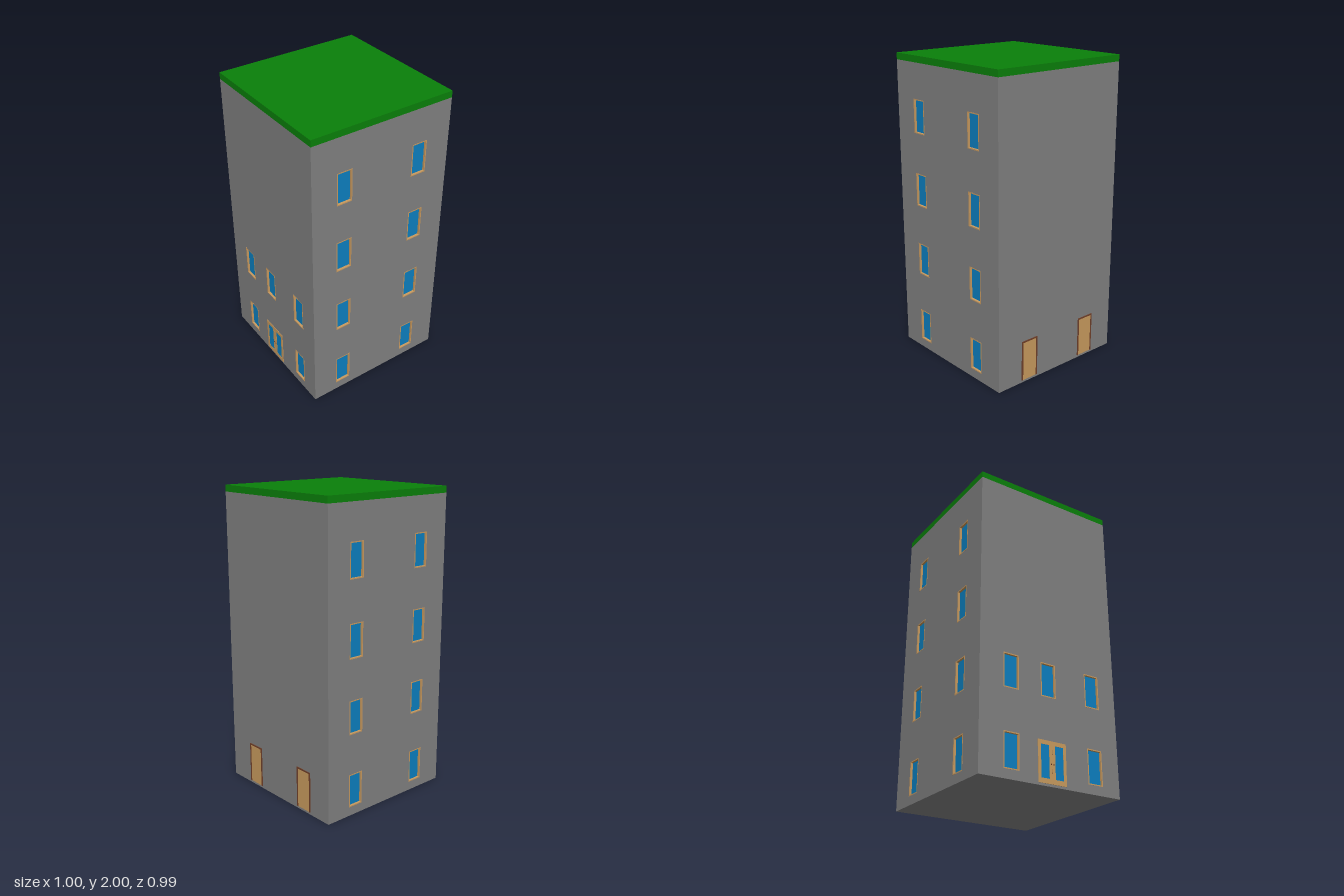
import * as THREE from 'three';

const HALF = 0.495;        // half width of the tower
const WALL_TOP = 1.957;
const THICK = 0.02;        // wall thickness
const WIN_W = 0.108, WIN_H = 0.22;
const ROWS = [0.168, 0.653, 1.135, 1.619]; // window centre heights

const mat = (color) => new THREE.MeshStandardMaterial({ color });
const wallMat = mat(0x808080), roofMat = mat(0x0a800a), glassMat = mat(0x0c7fc0);
const trimMat = mat(0xc89a60), doorMat = mat(0xc89a5e), darkMat = mat(0x70402a);

function add(parent, name, geometry, material, x = 0, y = 0, z = 0) {
  const mesh = new THREE.Mesh(geometry, material);
  mesh.name = name;
  mesh.position.set(x, y, z);
  parent.add(mesh);
  return mesh;
}

// Rectangle centred on (x, y), as a shape or a hole
function rect(Type, x, y, w, h) {
  const p = new Type();
  p.moveTo(x - w / 2, y - h / 2);
  p.lineTo(x + w / 2, y - h / 2);
  p.lineTo(x + w / 2, y + h / 2);
  p.lineTo(x - w / 2, y + h / 2);
  p.closePath();
  return p;
}

// Extruded rectangle with rectangular holes, each hole [x, y, w, h]
function panel(x, y, w, h, holes, depth) {
  const shape = rect(THREE.Shape, x, y, w, h);
  for (const hole of holes) shape.holes.push(rect(THREE.Path, ...hole));
  return new THREE.ExtrudeGeometry(shape, { depth, bevelEnabled: false });
}

// Wall with window openings; its outer face is local z = 0, facing +z
function makeWall(name, width, windows) {
  const wall = new THREE.Group();
  wall.name = name;
  const holes = windows.map(([x, y]) => [x, y, WIN_W, WIN_H]);
  add(wall, 'wallPanel', panel(0, WALL_TOP / 2, width, WALL_TOP, holes, THICK), wallMat, 0, 0, -THICK);
  for (const [x, y] of windows) {
    const win = new THREE.Group();
    win.name = 'window';
    win.position.set(x, y, 0);
    const inner = [[0, 0, WIN_W - 0.014, WIN_H - 0.014]];
    add(win, 'windowFrame', panel(0, 0, WIN_W, WIN_H, inner, THICK), trimMat, 0, 0, -THICK + 0.0005);
    add(win, 'windowGlass', new THREE.BoxGeometry(WIN_W - 0.014, WIN_H - 0.014, 0.004), glassMat, 0, 0, -0.016);
    wall.add(win);
  }
  return wall;
}

// Plain door with a dark surround on the sides and top
function makeSideDoor(x) {
  const door = new THREE.Group();
  door.name = 'sideDoor';
  door.position.set(x, 0.015, 0);
  add(door, 'doorLeaf', new THREE.BoxGeometry(0.11, 0.262, 0.004), doorMat, 0, 0.131, 0);
  for (const s of [-1, 1]) {
    add(door, 'doorJamb', new THREE.BoxGeometry(0.01, 0.262, 0.008), darkMat, s * 0.06, 0.131, 0);
  }
  add(door, 'doorLintel', new THREE.BoxGeometry(0.13, 0.01, 0.008), darkMat, 0, 0.267, 0);
  return door;
}

// Glazed double entrance door
function makeEntrance() {
  const door = new THREE.Group();
  door.name = 'entranceDoor';
  for (const s of [-1, 1]) {
    const glass = [[s * 0.05, 0.145, 0.058, 0.2]];
    add(door, 'entranceLeaf', panel(s * 0.05, 0.143, 0.099, 0.256, glass, 0.005), doorMat, 0, 0, -0.002);
    add(door, 'entranceGlass', new THREE.BoxGeometry(0.058, 0.2, 0.002), glassMat, s * 0.05, 0.145, 0.0004);
    add(door, 'doorKnob', new THREE.SphereGeometry(0.004, 12, 8), darkMat, s * 0.009, 0.132, 0.004);
  }
  add(door, 'meetingLine', new THREE.BoxGeometry(0.002, 0.256, 0.004), darkMat, 0, 0.143, 0);
  return door;
}

export function createModel() {
  const tower = new THREE.Group();
  tower.name = 'tower';

  // Front and back: two columns of four windows
  const columns = ROWS.flatMap((y) => [[-0.271, y], [0.271, y]]);
  const front = makeWall('frontWall', HALF * 2, columns);
  front.position.z = HALF;
  const back = makeWall('backWall', HALF * 2, columns);
  back.position.z = -HALF;
  back.rotation.y = Math.PI;

  // Side with two plain doors
  const sideWidth = (HALF - THICK) * 2;
  const doorSide = makeWall('doorSideWall', sideWidth, []);
  doorSide.position.x = HALF;
  doorSide.rotation.y = Math.PI / 2;
  doorSide.add(makeSideDoor(-0.242), makeSideDoor(0.258));

  // Side with the entrance and two low rows of windows
  const [low, upper] = ROWS;
  const entranceSide = makeWall('entranceSideWall', sideWidth,
    [[-0.28, low], [0.315, low], [-0.28, upper], [-0.015, upper], [0.315, upper]]);
  entranceSide.position.x = -HALF;
  entranceSide.rotation.y = -Math.PI / 2;
  entranceSide.add(makeEntrance());

  tower.add(front, back, doorSide, entranceSide);

  // Roof slab and floor
  const inner = sideWidth;
  add(tower, 'roof', new THREE.BoxGeometry(HALF * 2, 2 - WALL_TOP, HALF * 2), roofMat, 0, (2 + WALL_TOP) / 2, 0);
  add(tower, 'floor', new THREE.BoxGeometry(inner, 0.02, inner), wallMat, 0, 0.01, 0);
  return tower;
}
